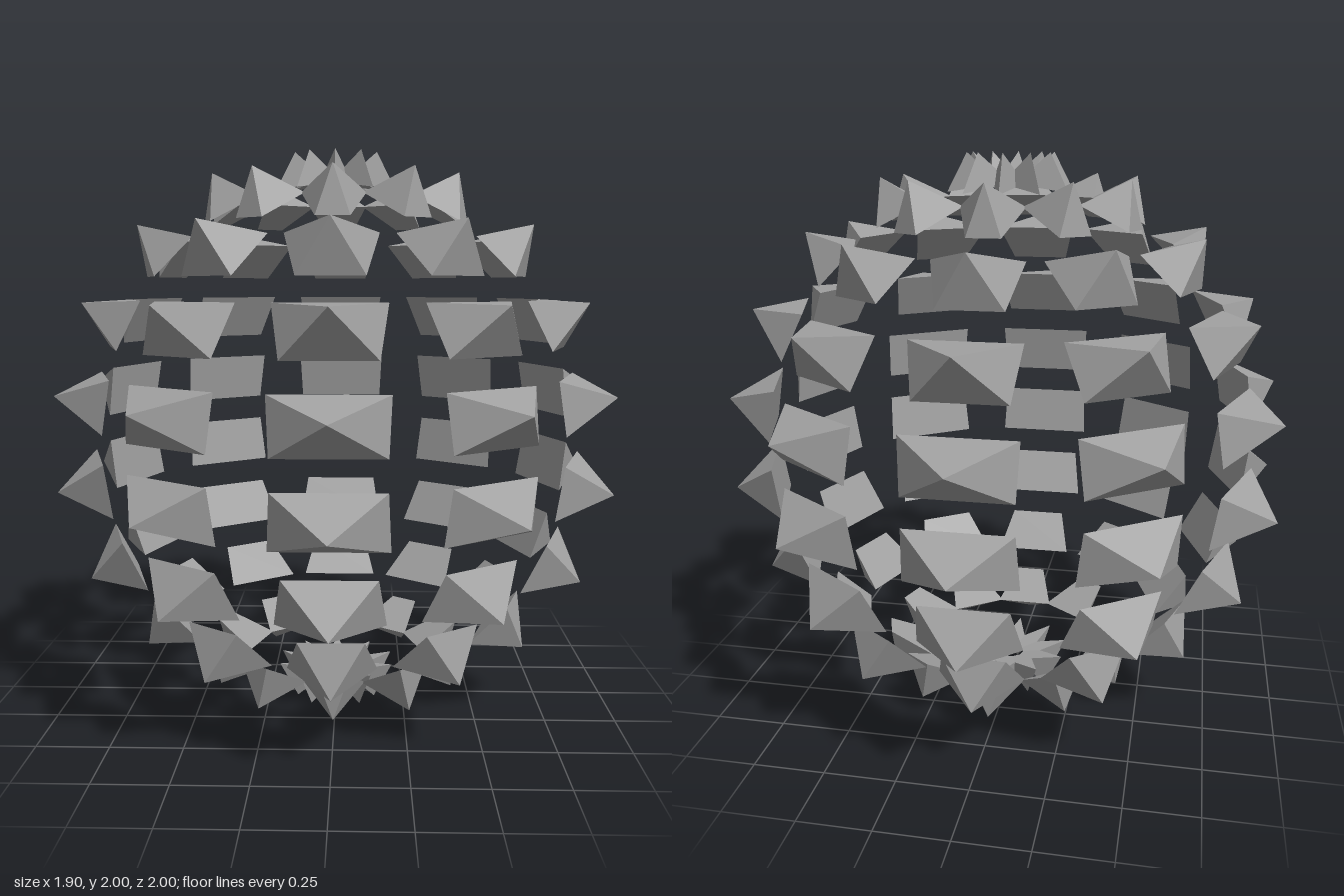
import * as THREE from 'three';

const SEGMENTS = 10, BANDS = 10;
const RADIUS = 0.905;   // sphere that carries the spikes
const SHRINK = -0.65;   // each facet is turned half round and shrunk about its centre
const HEIGHTS = [0.161, 0.158, 0.149, 0.136, 0.118]; // spike height, equator to pole

const onSphere = (lat, lon) => new THREE.Vector3(
  Math.cos(lat) * Math.sin(lon), Math.sin(lat), Math.cos(lat) * Math.cos(lon)
).multiplyScalar(RADIUS);

// closed four-sided pyramid standing on one shrunken facet of the sphere
function spikeGeometry(lat0, lat1, lon, height) {
  const half = Math.PI / SEGMENTS;
  const corners = [[lat0, -half], [lat0, half], [lat1, half], [lat1, -half]]
    .map(([lat, d]) => onSphere(lat, lon + d));
  const centre = new THREE.Vector3();
  corners.forEach(c => centre.addScaledVector(c, 0.25));
  const base = corners.map(c => c.clone().sub(centre).multiplyScalar(SHRINK).add(centre));
  const apex = centre.clone().addScaledVector(centre.clone().normalize(), height);

  const points = [];
  const triangle = (a, b, c) => {
    if (new THREE.Triangle(a, b, c).getArea() > 1e-6) points.push(a, b, c);
  };
  for (let i = 0; i < 4; i++) triangle(base[i], base[(i + 1) % 4], apex);
  triangle(base[0], base[2], base[1]);
  triangle(base[0], base[3], base[2]);

  const geometry = new THREE.BufferGeometry().setFromPoints(points);
  geometry.computeVertexNormals();
  return geometry;
}

export function createModel() {
  const model = new THREE.Group();
  model.name = 'spikedSphere';
  const grey = new THREE.MeshStandardMaterial({ color: 0xa0a0a0 });
  grey.name = 'grey';

  // rings of spikes from the bottom pole to the top pole
  for (let b = 0; b < BANDS; b++) {
    const ring = new THREE.Group();
    ring.name = `spikeRing${b + 1}`;
    const lat0 = -Math.PI / 2 + (b * Math.PI) / BANDS;
    const lat1 = lat0 + Math.PI / BANDS;
    const height = HEIGHTS[b < 5 ? 4 - b : b - 5];
    for (let s = 0; s < SEGMENTS; s++) {
      const lon = (s * 2 * Math.PI) / SEGMENTS;
      const spike = new THREE.Mesh(spikeGeometry(lat0, lat1, lon, height), grey);
      spike.name = 'spike';
      ring.add(spike);
    }
    model.add(ring);
  }
  model.children.forEach(ring => { ring.position.y = 1; });
  return model;
}
